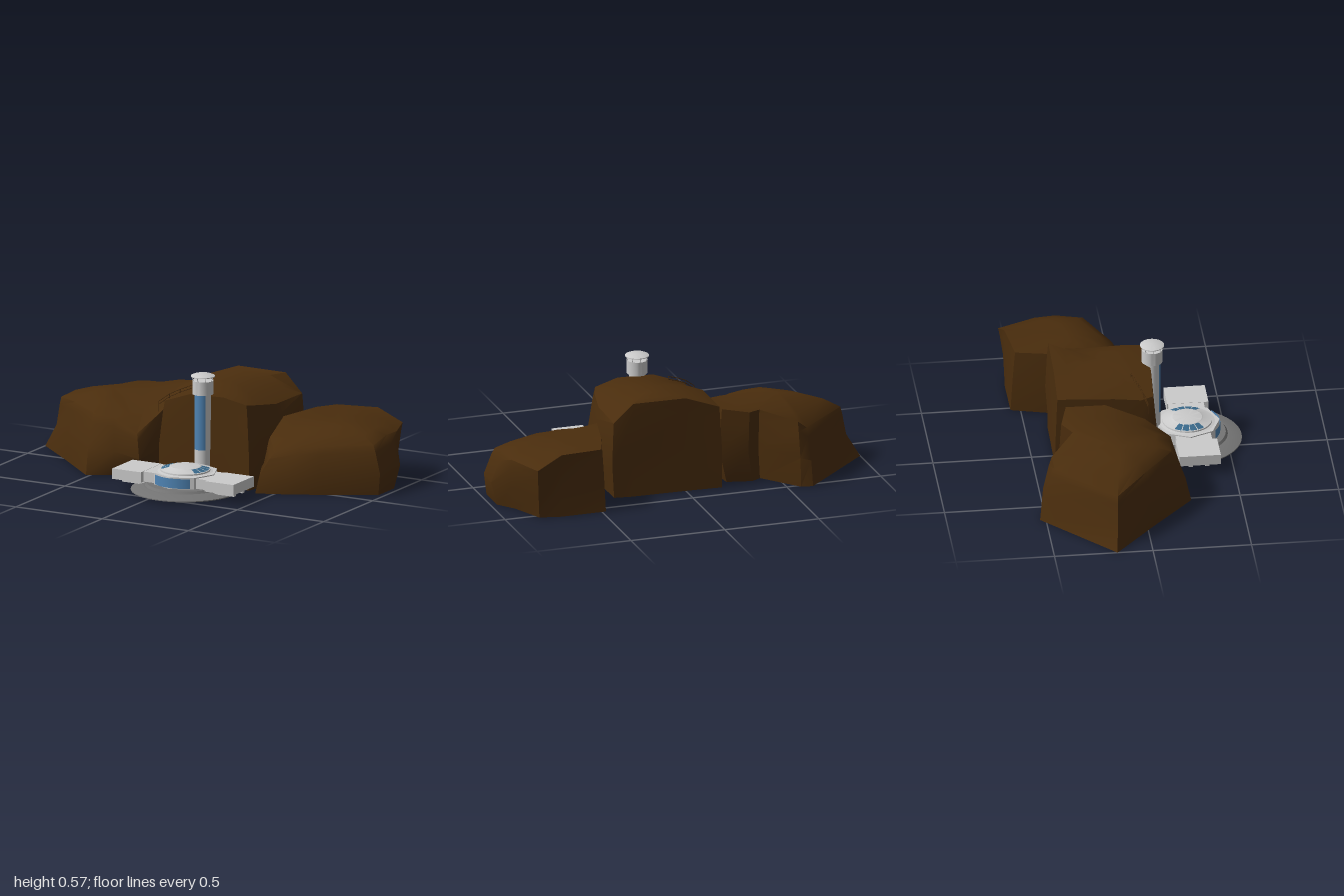
import * as THREE from 'three';
import { toCreasedNormals } from 'three/addons/utils/BufferGeometryUtils.js';

const mat = (color, side = THREE.FrontSide) => new THREE.MeshStandardMaterial({ color, side });
const grey = mat(0xcccccc, THREE.DoubleSide);
const darkGrey = mat(0x757575);
const brown = mat(0x4a2d0d);
const blue = mat(0x4f84b4, THREE.DoubleSide);
const teal = mat(0x3a6a8c, THREE.DoubleSide);

const CX = 0.085, CZ = 0.3; // centre of the round building
const TZ = 0.122; // depth of the tower axis

function add(parent, name, geometry, material, x = 0, y = 0, z = 0) {
  const mesh = new THREE.Mesh(geometry, material);
  mesh.name = name;
  mesh.position.set(x, y, z);
  parent.add(mesh);
  return mesh;
}

const lathe = (pts, segments = 40) => toCreasedNormals(
  new THREE.LatheGeometry(pts.map(p => new THREE.Vector2(...p)), segments).toNonIndexed(), 0.4);

// Straight bar between two points
function bar(parent, name, a, b, r, material) {
  const d = b.clone().sub(a);
  const m = add(parent, name, new THREE.CylinderGeometry(r, r, d.length(), 6), material);
  m.position.copy(a).addScaledVector(d, 0.5);
  m.quaternion.setFromUnitVectors(new THREE.Vector3(0, 1, 0), d.normalize());
}

// Boulder lofted from an outline; each row is x, z, base scale, belly scale, shoulder scale, shoulder height
function rock(parent, name, [cx, cz, peak], outline) {
  const n = outline.length, pos = [], index = [];
  const ring = (scale, height) => outline.forEach(o => {
    const s = scale(o);
    pos.push(cx + (o[0] - cx) * s, height(o), cz + (o[1] - cz) * s);
  });
  const crown = t => o => o[5] + (peak - o[5]) * t;
  ring(o => o[2], () => 0);
  ring(o => o[3], o => o[5] * 0.45);
  ring(o => (o[3] + o[4] * 2) / 3, o => o[5] * 0.85);
  ring(o => o[4], o => o[5]);
  ring(o => o[4] * 0.72, crown(0.5));
  ring(o => o[4] * 0.38, crown(0.85));
  pos.push(cx, peak, cz, cx, 0, cz);
  for (let i = 0; i < n; i++) {
    const j = (i + 1) % n;
    for (let k = 0; k < 5; k++) {
      const a = k * n + i, b = k * n + j;
      index.push(a, b, b + n, a, b + n, a + n);
    }
    index.push(5 * n + i, 5 * n + j, 6 * n, j, i, 6 * n + 1);
  }
  const g = new THREE.BufferGeometry();
  g.setAttribute('position', new THREE.Float32BufferAttribute(pos, 3));
  g.setIndex(index);
  add(parent, name, toCreasedNormals(g.toNonIndexed(), 0.8), brown);
}

function createRocks(group) {
  rock(group, 'rightRock', [-0.58, -0.12, 0.37], [
    [-1.0, -0.18, 1, 0.83, 0.76, 0.27],
    [-0.76, 0.03, 1, 0.97, 0.8, 0.3],
    [-0.52, 0.25, 1, 0.92, 0.72, 0.3],
    [-0.38, 0.21, 0.92, 1, 0.82, 0.29],
    [-0.24, 0.2, 0.82, 1, 0.92, 0.23],
    [-0.19, 0.06, 0.87, 1, 0.94, 0.31],
    [-0.17, -0.15, 0.9, 1, 0.95, 0.39],
    [-0.19, -0.36, 0.88, 1, 0.96, 0.4],
    [-0.33, -0.4, 0.86, 1, 0.96, 0.38],
    [-0.4, -0.35, 0.92, 1, 0.95, 0.37],
    [-0.57, -0.52, 1, 0.97, 0.86, 0.33],
    [-0.63, -0.53, 1, 0.95, 0.82, 0.29],
  ]);
  rock(group, 'middleRock', [0.1, -0.13, 0.485], [
    [-0.21, -0.1, 0.97, 1, 0.93, 0.42],
    [-0.2, 0.06, 0.97, 1, 0.88, 0.39],
    [-0.17, 0.12, 1, 1, 0.92, 0.4],
    [0.0, 0.12, 1.02, 1, 0.95, 0.455],
    [0.2, 0.12, 1.02, 1, 0.95, 0.46],
    [0.35, 0.12, 1.02, 1, 0.88, 0.43],
    [0.38, 0.04, 0.97, 1, 0.88, 0.42],
    [0.41, -0.12, 0.9, 1, 0.88, 0.4],
    [0.39, -0.385, 0.95, 1, 0.96, 0.4],
    [0.28, -0.385, 1, 1, 0.99, 0.495],
    [0.0, -0.39, 1, 1, 0.99, 0.495],
    [-0.19, -0.4, 1, 1, 0.96, 0.43],
  ]);
  rock(group, 'leftRock', [0.67, -0.24, 0.325], [
    [0.37, -0.15, 1, 1, 0.92, 0.33],
    [0.36, 0.0, 1, 1, 0.9, 0.25],
    [0.41, 0.16, 1, 0.95, 0.77, 0.2],
    [0.56, 0.1, 1, 0.98, 0.74, 0.23],
    [0.7, 0.03, 1, 1, 0.84, 0.24],
    [0.98, -0.11, 0.96, 1, 0.84, 0.25],
    [1.0, -0.28, 0.9, 1, 0.78, 0.275],
    [0.93, -0.38, 0.88, 0.97, 0.98, 0.27],
    [0.85, -0.57, 0.87, 0.93, 1, 0.265],
    [0.72, -0.575, 0.93, 0.95, 0.94, 0.33],
    [0.48, -0.55, 1, 0.97, 0.92, 0.325],
    [0.44, -0.4, 1, 1, 0.95, 0.335],
  ]);
}

function createBuilding(group) {
  // Stepped round foundation
  add(group, 'foundation', lathe([[0, 0.012], [0.276, 0.012], [0.276, 0.017], [0.215, 0.036],
    [0.205, 0.036], [0.195, 0.048], [0, 0.05]], 48), darkGrey, CX, 0, CZ);

  // Faceted hall with side wings
  const hall = new THREE.CylinderGeometry(0.165, 0.165, 0.06, 8).toNonIndexed();
  hall.computeVertexNormals();
  add(group, 'hall', hall, grey, CX, 0.079, CZ);
  add(group, 'wingRoot', new THREE.BoxGeometry(0.38, 0.052, 0.18), grey, CX, 0.078, 0.315);
  for (const s of [-1, 1]) {
    add(group, 'wing', new THREE.BoxGeometry(0.167, 0.054, 0.21), grey, CX + s * 0.268, 0.078, 0.325);
    for (const z of [0.28, 0.365])
      add(group, 'wingSupport', new THREE.BoxGeometry(0.13, 0.025, 0.022), grey, CX + s * 0.26, 0.041, z);
  }
  add(group, 'frontWindow', new THREE.CylinderGeometry(0.167, 0.167, 0.05, 10, 1, true, -0.66, 1.32),
    blue, CX, 0.08, CZ);

  // Low conical roof with a skylight band on each side
  add(group, 'roof', lathe([[0.145, 0.108], [0.126, 0.112], [0.125, 0.119], [0.08, 0.131],
    [0.075, 0.134], [0, 0.136]]), grey, CX, 0, CZ);
  for (const side of [1, -1]) for (let i = 0; i < 4; i++) {
    const a = side * Math.PI / 2 + (i - 1.5) * 0.34 - 0.15;
    add(group, 'skylight', new THREE.CylinderGeometry(0.08, 0.122, 0.0112, 4, 1, true, a, 0.3),
      teal, CX, 0.1272, CZ);
  }
}

function createTower(group) {
  add(group, 'towerShaft', new THREE.CylinderGeometry(0.042, 0.042, 0.43, 28), grey, CX, 0.265, TZ);
  add(group, 'towerWindow', new THREE.CylinderGeometry(0.0435, 0.0435, 0.285, 10, 1, true, -0.8, 1.6),
    blue, CX, 0.327, TZ);
  add(group, 'towerHead', lathe([[0.042, 0.468], [0.053, 0.47], [0.053, 0.54], [0, 0.541]]), grey, CX, 0, TZ);
  add(group, 'towerCap', lathe([[0, 0.558], [0.061, 0.56], [0.061, 0.564], [0.045, 0.571], [0, 0.573]]),
    grey, CX, 0, TZ);
  // Splayed posts holding the cap
  for (let i = 0; i < 8; i++) {
    const a = i * Math.PI / 4, p = (r, y) => new THREE.Vector3(CX + Math.sin(a) * r, y, TZ + Math.cos(a) * r);
    bar(group, 'capPost', p(0.049, 0.538), p(0.058, 0.562), 0.0018, grey);
  }
}

// Handrail climbing over the rocks
function createRail(group) {
  const rail = [[-0.2, 0.36, 0.07], [-0.15, 0.4, 0.05], [-0.1, 0.425, 0.03], [-0.04, 0.45, 0.0]]
    .map(p => new THREE.Vector3(...p));
  const up = h => new THREE.Vector3(0, h, 0);
  rail.forEach((p, i) => {
    bar(group, 'railPost', p.clone().sub(up(0.03)), p.clone().add(up(0.025)), 0.002, brown);
    if (i) for (const h of [0.01, 0.025])
      bar(group, 'handrail', rail[i - 1].clone().add(up(h)), p.clone().add(up(h)), 0.002, brown);
  });
}

export function createModel() {
  const model = new THREE.Group();
  model.name = 'rockBase';
  for (const [name, build] of [['rocks', createRocks], ['building', createBuilding],
    ['tower', createTower], ['rail', createRail]]) {
    const part = new THREE.Group();
    part.name = name;
    build(part);
    model.add(part);
  }
  return model;
}
